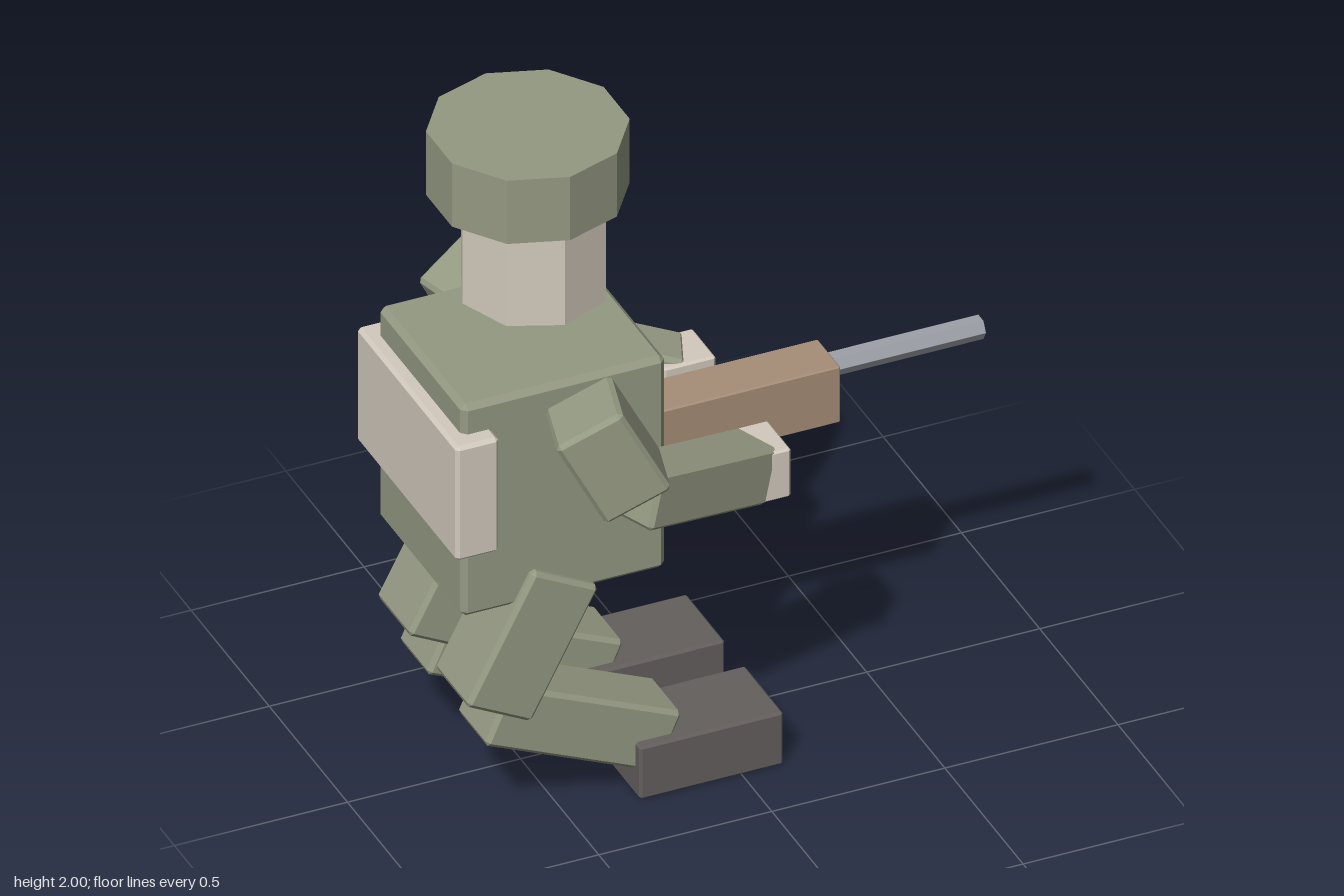
import * as THREE from 'three';
import { ConvexGeometry } from 'three/addons/geometries/ConvexGeometry.js';

const flat = (color, name) => {
  const m = new THREE.MeshStandardMaterial({ color, flatShading: true });
  m.name = name;
  return m;
};

// Box with a single flat bevel on every edge
function bevelBox(w, h, d, c = 0.012) {
  const half = [w / 2, h / 2, d / 2];
  const points = [];
  for (let axis = 0; axis < 3; axis++)
    for (const sx of [-1, 1]) for (const sy of [-1, 1]) for (const sz of [-1, 1]) {
      const s = [sx, sy, sz];
      points.push(new THREE.Vector3(...half.map((v, i) => s[i] * (i === axis ? v : v - c))));
    }
  return new ConvexGeometry(points);
}

export function createModel() {
  const model = new THREE.Group();
  model.name = 'crouchingSoldier';

  const green = flat(0x949982, 'uniformGreen');
  const skin = flat(0xd3cabd, 'paleSkin');
  const wood = flat(0xa68e78, 'woodBrown');
  const boot = flat(0x645f5d, 'bootGrey');
  const steel = flat(0x9da1a8, 'steel');

  const add = (name, geometry, material, x, y, z, turn = 0, tilt = 0) => {
    const mesh = new THREE.Mesh(geometry, material);
    mesh.name = name;
    mesh.position.set(x, y, z);
    mesh.rotation.set(0, THREE.MathUtils.degToRad(turn), THREE.MathUtils.degToRad(tilt), 'YXZ');
    model.add(mesh);
    return mesh;
  };

  // Torso, backpack, head and helmet
  add('torso', bevelBox(0.59, 0.67, 0.54, 0.016), green, -0.495, 1.02, 0);
  add('backpack', bevelBox(0.125, 0.36, 0.64, 0.01), skin, -0.767, 1.086, 0);
  add('head', new THREE.CylinderGeometry(0.204, 0.204, 0.32, 8), skin, -0.463, 1.647, 0);
  add('helmet', new THREE.CylinderGeometry(0.27, 0.27, 0.2, 10), green, -0.479, 1.9, 0);

  // Rifle
  add('rifleBody', bevelBox(0.59, 0.177, 0.146, 0.004), wood, 0.097, 0.953, 0);
  add('rifleBarrel', new THREE.CylinderGeometry(0.033, 0.033, 0.45, 6), steel, 0.605, 1.003, 0, 0, 90);

  // Arms and legs, mirrored across the z axis
  for (const [side, s] of [['front', 1], ['back', -1]]) {
    add(side + 'UpperArm', bevelBox(0.2, 0.29, 0.2), green, -0.424, 1.196, s * 0.391, -15 * s, 28);
    add(side + 'Forearm', bevelBox(0.465, 0.167, 0.15), green, -0.146, 0.986, s * 0.327, 22 * s, -16);
    add(side + 'Hand', bevelBox(0.15, 0.153, 0.15, 0.006), skin, 0.065, 0.922, s * 0.24);
    add(side + 'Thigh', bevelBox(0.215, 0.424, 0.215), green, -0.595, 0.556, s * 0.186, 0, -27.6);
    add(side + 'Shin', bevelBox(0.545, 0.186, 0.19), green, -0.442, 0.246, s * 0.186, 0, -23.7);
    add(side + 'Boot', bevelBox(0.415, 0.166, 0.246, 0.007), boot, -0.087, 0.084, s * 0.187);
  }

  return model;
}
